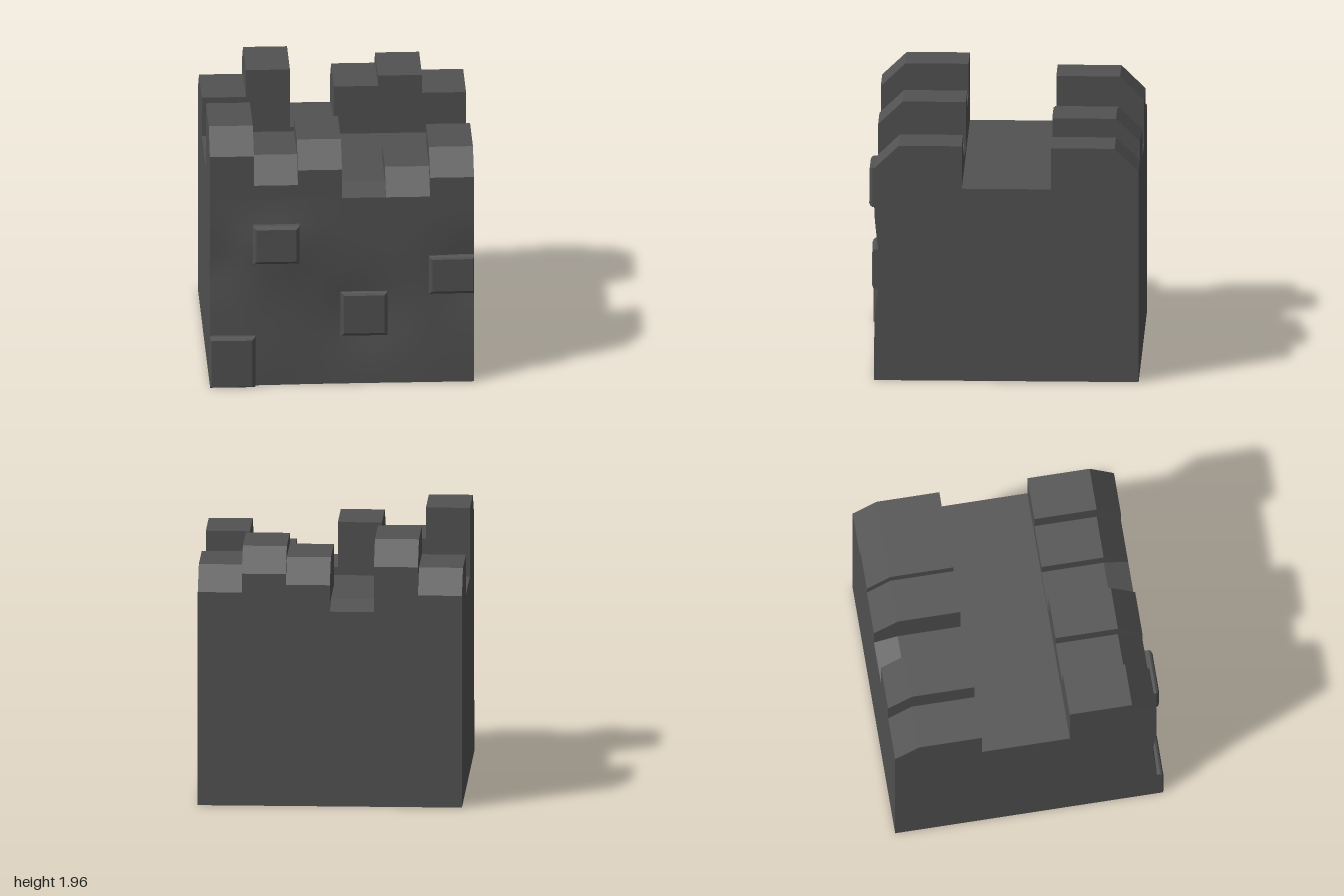
import * as THREE from 'three';
import { toCreasedNormals, mergeVertices } from 'three/addons/utils/BufferGeometryUtils.js';

const HALF = 0.964, FRONT = 0.93, BACK = -1, FLOOR = 1.45, COL = HALF / 3;
const material = new THREE.MeshStandardMaterial({ color: 0x525252 });

// Gentle bumps and hollows of the front face: x, y, depth, radius
const bumps = [
  [-0.48, 1.11, 0.034, 0.3],
  [-0.65, 0.15, 0.012, 0.32],
  [0.16, 0.54, -0.038, 0.28],
  [0.96, 0.84, -0.04, 0.28],
  [-0.96, 0.92, -0.028, 0.24],
];
function frontZ(x, y) {
  const fade = Math.min(1, Math.max(0, (FLOOR - y) / 0.3));
  return bumps.reduce((z, [cx, cy, depth, r]) =>
    z + fade * depth * Math.exp(-((x - cx) ** 2 + (y - cy) ** 2) / (r * r)), FRONT);
}

// Extrude a (z, y) profile along x, starting at x0
function extrudeAlongX(points, x0, width, steps = 1) {
  const shape = new THREE.Shape(points.map(([z, y]) => new THREE.Vector2(-z, y)));
  return new THREE.ExtrudeGeometry(shape, { depth: width, steps, bevelEnabled: false })
    .rotateY(Math.PI / 2).translate(x0, 0, 0);
}

function addMesh(group, name, geometry) {
  const mesh = new THREE.Mesh(geometry, material);
  mesh.name = name;
  group.add(mesh);
}

// Solid block whose front face follows the bumps
function wallBody() {
  const profile = [[BACK, 0], [BACK, FLOOR]];
  for (let i = 0; i <= 20; i++) profile.push([FRONT, FLOOR * (1 - i / 20)]);
  let geo = extrudeAlongX(profile, -HALF, 2 * HALF, 24);
  const p = geo.attributes.position;
  for (let i = 0; i < p.count; i++) {
    if (p.getZ(i) > FRONT - 0.001) p.setZ(i, frontZ(p.getX(i), p.getY(i)));
  }
  geo.deleteAttribute('normal');
  geo.deleteAttribute('uv');
  geo = mergeVertices(geo, 1e-4);
  return toCreasedNormals(geo, 0.6);
}

// Battlement block with a sloped outer edge
function merlon(column, height, outer, slope, inner) {
  const low = Math.max(FLOOR + 0.001, height - 0.172);
  const points = [[inner, FLOOR], [inner, height], [slope, height], [outer, low], [outer, FLOOR]];
  if (outer > 0) points.reverse();
  return extrudeAlongX(points, -HALF + column * COL, COL);
}

// Raised stone with bevelled rim, resting on the bumpy face
function raisedStone(x0, x1, y0, y1) {
  const rings = [[0.016, -0.02], [0.016, 0.022], [0.009, 0.036], [-0.008, 0.044]]; // outset, height
  const mid = frontZ((x0 + x1) / 2, (y0 + y1) / 2);
  const pos = [], index = [];
  for (const [out, h] of rings) {
    const corners = [[x0 - out, y0 - out], [x1 + out, y0 - out], [x1 + out, y1 + out], [x0 - out, y1 + out]];
    for (const [cx, cy] of corners) {
      const x = THREE.MathUtils.clamp(cx, -HALF, HALF), y = Math.max(0, cy);
      // The rim foot follows the face, the top is flatter
      pos.push(x, y, h + THREE.MathUtils.lerp(mid, frontZ(x, y), h < 0 ? 1 : 0.25));
    }
  }
  for (let r = 0; r < rings.length - 1; r++) {
    for (let i = 0; i < 4; i++) {
      const a = r * 4 + i, b = r * 4 + (i + 1) % 4;
      index.push(a, b, b + 4, a, b + 4, a + 4);
    }
  }
  const t = (rings.length - 1) * 4;
  index.push(t, t + 1, t + 2, t, t + 2, t + 3);
  const geo = new THREE.BufferGeometry();
  geo.setAttribute('position', new THREE.Float32BufferAttribute(pos, 3));
  geo.setIndex(index);
  return toCreasedNormals(geo, 0.3);
}

export function createModel() {
  const model = new THREE.Group();
  model.name = 'battlementWall';
  addMesh(model, 'wallBody', wallBody());

  // Two rows of battlements with a walkway between them
  const frontHeights = [1.96, 1.73, 1.845, 1.51, 1.62, 1.77];
  const backHeights = [1.75, 1.96, 1.51, 1.82, 1.9, 1.76];
  frontHeights.forEach((h, i) => addMesh(model, 'frontMerlon', merlon(i, h, FRONT, 0.75, 0.29)));
  backHeights.forEach((h, i) => addMesh(model, 'backMerlon', merlon(i, h, BACK, -0.825, -0.36)));

  // Stones standing out of the front face
  const stones = [
    [-HALF, -0.65, 0, 0.375],
    [-0.635, -0.327, 0.98, 1.245],
    [0.007, 0.317, 0.385, 0.695],
    [0.65, HALF, 0.705, 0.97],
  ];
  stones.forEach((s) => addMesh(model, 'raisedStone', raisedStone(...s)));
  return model;
}
